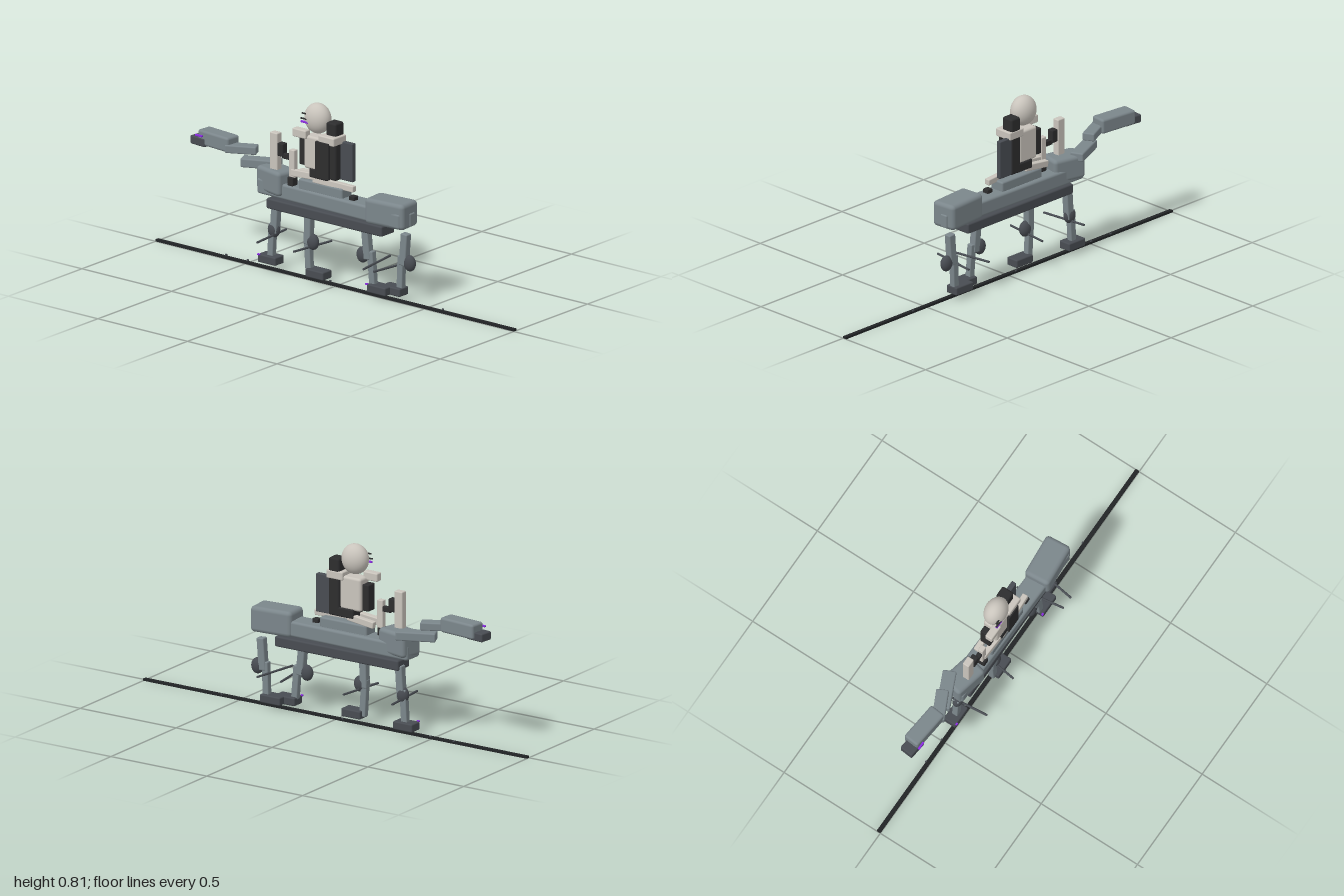
import * as THREE from 'three';
import { RoundedBoxGeometry } from 'three/addons/geometries/RoundedBoxGeometry.js';

const paint = (name, color) => Object.assign(new THREE.MeshStandardMaterial({ color }), { name });

export function createModel() {
  const grey = paint('steel grey', 0x7b868b);
  const dark = paint('dark grey', 0x484c52);
  const black = paint('black', 0x2d2d2e);
  const light = paint('warm white', 0xc9c4bc);
  const purple = paint('purple', 0x8a2be2);
  const railMat = paint('rail black', 0x222426);
  const model = new THREE.Group();

  const group = (name) => {
    const g = new THREE.Group();
    g.name = name;
    model.add(g);
    return g;
  };
  const add = (parent, name, geo, mat, x, y, z) => {
    const m = new THREE.Mesh(geo, mat);
    m.name = name;
    m.position.set(x, y, z);
    parent.add(m);
    return m;
  };
  // Soft-edged box given by its extents, with optional yaw and roll
  const box = (parent, name, mat, [x0, x1], [y0, y1], [z0, z1], yaw = 0, roll = 0) => {
    const w = x1 - x0, h = y1 - y0, d = z1 - z0;
    const geo = new RoundedBoxGeometry(w, h, d, 2, Math.min(w, h, d) * 0.16);
    const m = add(parent, name, geo, mat, (x0 + x1) / 2, (y0 + y1) / 2, (z0 + z1) / 2);
    m.rotation.set(0, yaw, roll);
    return m;
  };
  // Square bar running between two points
  const bar = (parent, name, mat, a, b, w, d) => {
    const p = new THREE.Vector3(...a), q = new THREE.Vector3(...b);
    const len = p.distanceTo(q), mid = p.clone().add(q).multiplyScalar(0.5);
    const m = add(parent, name, new RoundedBoxGeometry(w, len, d, 2, Math.min(w, d) * 0.16), mat, mid.x, mid.y, mid.z);
    m.quaternion.setFromUnitVectors(new THREE.Vector3(0, 1, 0), q.sub(p).normalize());
    return m;
  };
  const ball = (parent, name, mat, x, y, z, rx, ry, rz) =>
    add(parent, name, new THREE.SphereGeometry(1, 32, 20), mat, x, y, z).scale.set(rx, ry, rz);

  // Ground rail with small markers
  const rail = group('groundRail');
  add(rail, 'rail', new THREE.BoxGeometry(2, 0.01, 0.018), railMat, 0, 0.005, -0.009);
  for (const x of [-0.62, -0.5, -0.04, 0.59])
    add(rail, 'railMarker', new THREE.BoxGeometry(0.008, 0.006, 0.006), dark, x, 0.013, -0.018);

  // Mount body
  const body = group('mountBody');
  box(body, 'mainBeam', grey, [-0.41, 0.4], [0.347, 0.417], [-0.058, 0.04], -0.02);
  box(body, 'belly', dark, [-0.355, 0.29], [0.29, 0.337], [-0.055, 0.035]);
  box(body, 'chest', grey, [-0.415, -0.255], [0.36, 0.47], [-0.07, 0.04], -0.22);
  box(body, 'rump', grey, [0.205, 0.41], [0.342, 0.458], [-0.07, 0.05], 0.08);
  box(body, 'tailPlate', grey, [0.36, 0.414], [0.35, 0.41], [-0.045, -0.008]);
  box(body, 'saddle', grey, [-0.18, 0.065], [0.41, 0.46], [-0.04, 0.03]);
  box(body, 'frontKnob', black, [-0.242, -0.21], [0.415, 0.455], [-0.005, 0.03]);
  box(body, 'rearKnob', black, [0.095, 0.125], [0.41, 0.435], [-0.01, 0.02]);

  // Neck and head
  const head = group('mountHead');
  box(head, 'lowerNeck', grey, [-0.525, -0.35], [0.443, 0.483], [-0.065, -0.005], 0.42);
  box(head, 'upperNeck', grey, [-0.595, -0.455], [0.498, 0.534], [-0.035, 0.02], 0.45);
  box(head, 'skull', grey, [-0.745, -0.56], [0.498, 0.565], [-0.042, 0.032], -0.1);
  box(head, 'snout', dark, [-0.787, -0.7], [0.492, 0.53], [-0.038, 0.026], -0.1);
  box(head, 'eyeStrip', purple, [-0.752, -0.713], [0.538, 0.546], [0.027, 0.036]);

  // Legs: hip, knee, shin top, shin bottom, foot range and side
  const legs = [
    { hip: -0.345, knee: -0.36, top: -0.365, end: -0.375, foot: [-0.428, -0.328], z: -0.026, rod: 0.1, rx: -0.352 },
    { hip: -0.138, knee: -0.118, top: -0.145, end: -0.135, foot: [-0.137, -0.037], z: 0.004, rod: -0.13, rx: -0.123 },
    { hip: 0.178, knee: 0.16, top: 0.208, end: 0.222, foot: [0.205, 0.31], z: 0.004, rod: 0.15, rx: 0.235 },
    { hip: 0.375, knee: 0.396, top: 0.352, end: 0.346, foot: [0.26, 0.365], z: -0.028, rod: -0.15, rx: 0.325 },
  ];
  for (const l of legs) {
    const g = group('leg');
    bar(g, 'upperLeg', grey, [l.hip, 0.31, l.z], [(l.hip + l.top) / 2, 0.165, l.z], 0.036, 0.034);
    bar(g, 'shin', grey, [l.top, 0.205, l.z], [l.end, 0.035, l.z], 0.031, 0.028);
    ball(g, 'knee', dark, l.knee, 0.179, l.z, 0.03, 0.036, 0.022);
    box(g, 'foot', dark, l.foot, [0.025, 0.062], [l.z - 0.031, l.z + 0.031]);
    const rod = add(g, 'crossRod', new THREE.CylinderGeometry(0.005, 0.005, 0.225, 10), dark, l.rx, 0.157, 0);
    rod.rotation.set(Math.PI / 2, 0, -l.rod);
  }
  box(model, 'footLamp', purple, [-0.425, -0.413], [0.058, 0.065], [0.002, 0.01]);
  box(model, 'footLamp', purple, [0.2, 0.212], [0.058, 0.065], [0.028, 0.037]);

  // Control column in front of the rider
  const control = group('controlColumn');
  box(control, 'tallPost', light, [-0.347, -0.305], [0.45, 0.635], [-0.012, 0.02]);
  box(control, 'shortPost', light, [-0.24, -0.21], [0.45, 0.577], [-0.005, 0.02]);
  box(control, 'handGrip', black, [-0.304, -0.272], [0.535, 0.594], [-0.01, 0.022]);
  box(control, 'gripArm', black, [-0.28, -0.225], [0.527, 0.551], [-0.004, 0.018]);

  // Rider
  const rider = group('rider');
  ball(rider, 'riderHead', light, -0.098, 0.742, -0.005, 0.064, 0.068, 0.05);
  box(rider, 'torso', light, [-0.148, -0.04], [0.515, 0.665], [-0.04, 0.032]);
  box(rider, 'frontShoulder', light, [-0.203, -0.128], [0.65, 0.688], [0.008, 0.043]);
  box(rider, 'rearShoulder', light, [-0.06, 0.027], [0.645, 0.683], [-0.048, 0.04]);
  box(rider, 'pelvis', black, [-0.115, -0.015], [0.48, 0.522], [-0.046, 0.035]);
  box(rider, 'forearm', black, [-0.184, -0.15], [0.522, 0.642], [-0.03, 0.02]);
  box(rider, 'sidePanel', black, [-0.072, 0.002], [0.49, 0.655], [0.033, 0.046]);
  box(rider, 'backpack', black, [-0.04, 0.015], [0.48, 0.74], [-0.046, 0.012]);
  box(rider, 'backPlate', dark, [-0.005, 0.082], [0.482, 0.655], [-0.043, -0.02]);
  bar(rider, 'leftThigh', light, [-0.09, 0.485, 0.02], [-0.225, 0.475, 0.012], 0.03, 0.026);
  bar(rider, 'rightThigh', light, [-0.08, 0.485, -0.03], [-0.215, 0.468, -0.03], 0.03, 0.026);
  bar(rider, 'lowerLeg', light, [-0.1, 0.472, 0.02], [0.115, 0.465, 0.005], 0.028, 0.026);

  // Visor stripes
  box(rider, 'visorStripe', purple, [-0.158, -0.11], [0.722, 0.73], [0.032, 0.041]);
  box(rider, 'visorLine', black, [-0.16, -0.115], [0.738, 0.743], [0.033, 0.041]);
  box(rider, 'visorLine', black, [-0.155, -0.132], [0.761, 0.766], [0.03, 0.037]);
  return model;
}
